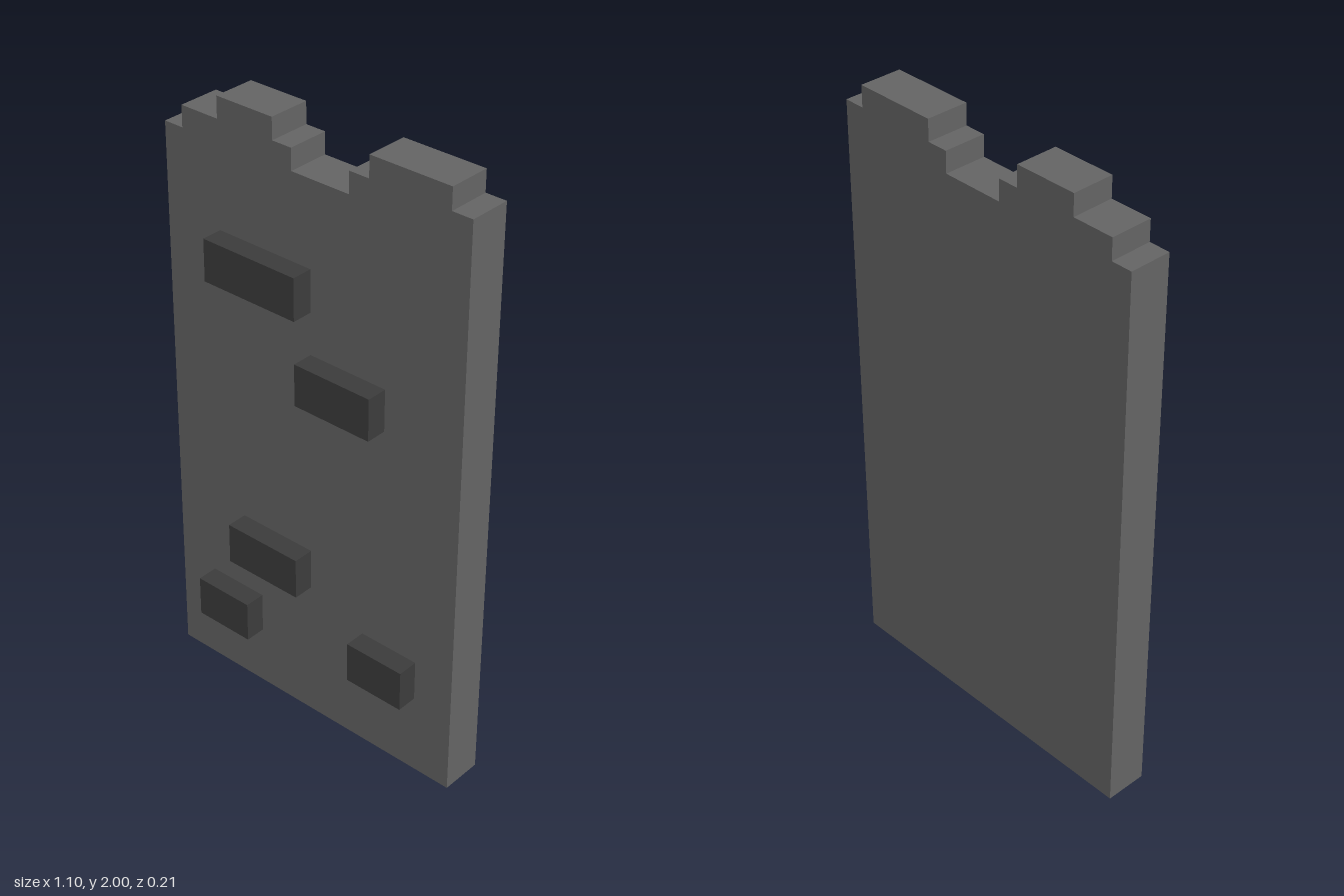
import * as THREE from 'three';

// The whole model sits on a block grid, 29 units tall
const U = 2 / 29;

export function createModel() {
  const group = new THREE.Group();
  const stone = new THREE.MeshStandardMaterial({ name: 'stone grey', color: 0x646464 });
  const darkStone = new THREE.MeshStandardMaterial({ name: 'dark stone grey', color: 0x3c3c3c });

  // Wall slab with a broken, stepped top: [left x, right x, height] per step
  const steps = [
    [-8, -7, 27], [-7, -5, 28], [-5, -2, 29], [-2, -1, 28],
    [-1, 2, 27], [2, 3, 28], [3, 7, 29], [7, 8, 28],
  ];
  const outline = new THREE.Shape();
  outline.moveTo(8 * U, 0);
  for (const [x0, x1, h] of [...steps].reverse()) {
    outline.lineTo(x1 * U, h * U);
    outline.lineTo(x0 * U, h * U);
  }
  outline.lineTo(-8 * U, 0);
  outline.closePath();
  const wallGeometry = new THREE.ExtrudeGeometry(outline, { depth: 2 * U, bevelEnabled: false });
  wallGeometry.translate(0, 0, -1.5 * U);
  const wall = new THREE.Mesh(wallGeometry, stone);
  wall.name = 'wall';
  group.add(wall);

  // Bricks standing out from the front face: [left x, bottom y, width]
  const bricks = [[-5, 21, 5], [0, 17, 4], [-4, 7, 4], [3, 4, 3], [-6, 3, 3]];
  bricks.forEach(([x, y, w], i) => {
    const brick = new THREE.Mesh(new THREE.BoxGeometry(w * U, 2 * U, U), darkStone);
    brick.position.set((x + w / 2) * U, (y + 1) * U, U);
    brick.name = `brick${i + 1}`;
    group.add(brick);
  });

  return group;
}
